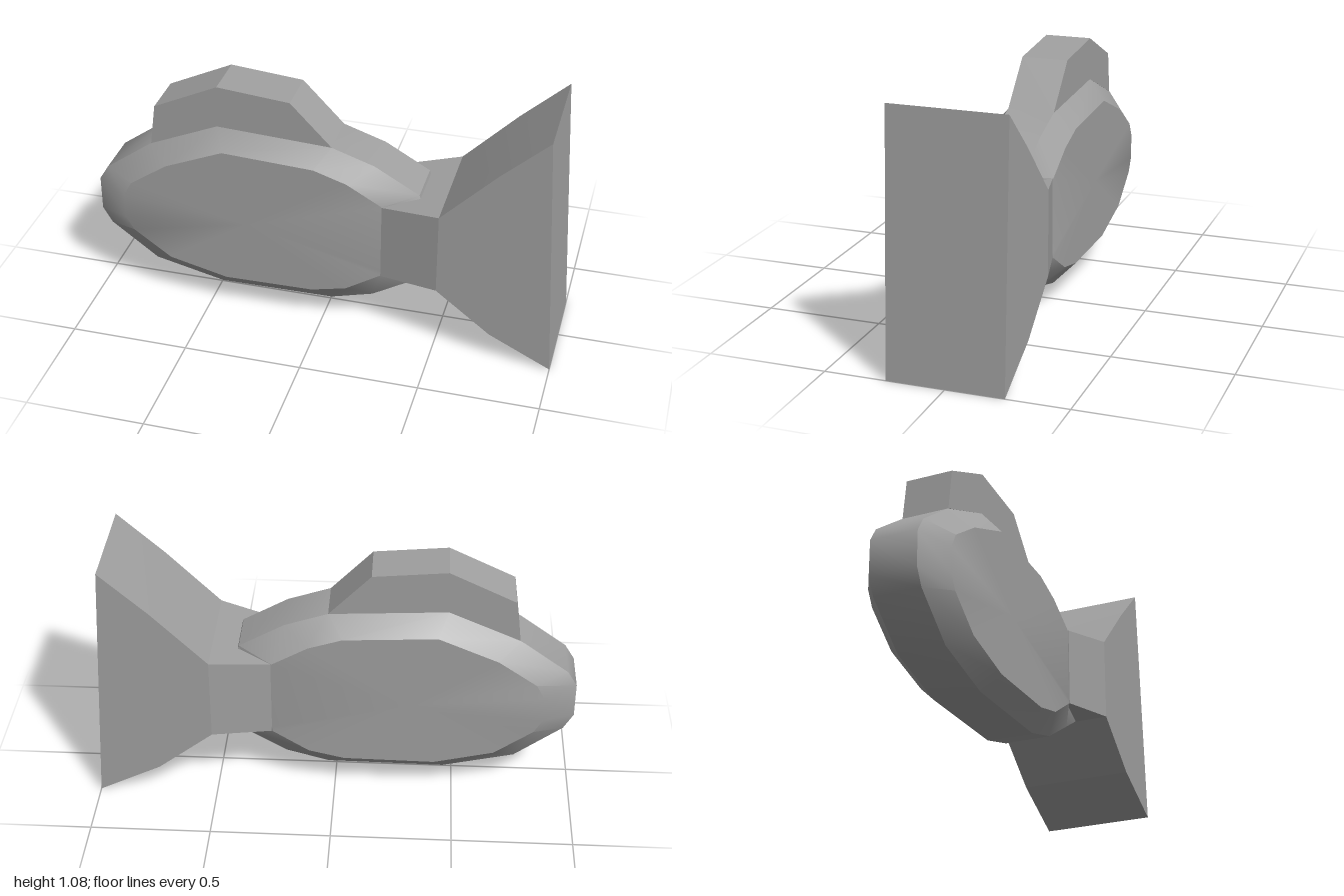
import * as THREE from 'three';
import { toCreasedNormals } from 'three/addons/utils/BufferGeometryUtils.js';

const grey = new THREE.MeshStandardMaterial({ color: 0xa0a0a0 });
grey.name = 'plain grey';

// Skin between equal-sized rings of [x, y, z] points, closed with a cap at each end
function loft(rings, crease) {
  const pos = [];
  const tri = (a, b, c) => pos.push(...a, ...b, ...c);
  const n = rings[0].length;
  const centre = (ring) => [0, 1, 2].map((k) => ring.reduce((s, p) => s + p[k], 0) / n);
  const first = rings[0], last = rings[rings.length - 1];
  const c0 = centre(first), c1 = centre(last);
  for (let j = 0; j < n; j++) {
    const k = (j + 1) % n;
    for (let i = 0; i < rings.length - 1; i++) {
      const a = rings[i], b = rings[i + 1];
      tri(a[j], a[k], b[k]);
      tri(a[j], b[k], b[j]);
    }
    tri(c0, first[k], first[j]);
    tri(c1, last[j], last[k]);
  }
  const geo = new THREE.BufferGeometry();
  geo.setAttribute('position', new THREE.Float32BufferAttribute(pos, 3));
  return toCreasedNormals(geo, crease);
}

function addPart(group, name, geo) {
  const mesh = new THREE.Mesh(geo, grey);
  mesh.name = name;
  group.add(mesh);
}

export function createModel() {
  const group = new THREE.Group();
  group.name = 'fish';
  const atZ = (outline, z) => outline.map(([x, y]) => [x, y, z]);

  // Body: flat sides with a bevelled rim, outlines run along the belly and back over the top
  const rim = [
    [-1, 0.37], [-0.96, 0.3], [-0.76, 0.15], [-0.46, 0.08], [0.03, 0.085], [0.21, 0.135], [0.4, 0.247], [0.51, 0.312],
    [0.4, 0.667], [0.21, 0.775], [0.03, 0.835], [-0.46, 0.86], [-0.76, 0.73], [-0.96, 0.585], [-1, 0.52],
  ];
  const side = [
    [-0.865, 0.39], [-0.83, 0.33], [-0.67, 0.215], [-0.42, 0.155], [-0.04, 0.16], [0.11, 0.195], [0.26, 0.29], [0.26, 0.31],
    [0.26, 0.63], [0.11, 0.715], [-0.03, 0.76], [-0.42, 0.78], [-0.67, 0.675], [-0.83, 0.565], [-0.865, 0.5],
  ];
  addPart(group, 'body', loft([atZ(side, -0.178), atZ(rim, -0.1), atZ(rim, 0.1), atZ(side, 0.172)], 0.56));

  // Back fin, its base following the top of the body
  const fin = [
    [-0.755, 0.733], [-0.46, 0.86], [0.03, 0.835], [-0.145, 1.017], [-0.455, 1.045], [-0.73, 0.915],
  ];
  addPart(group, 'backFin', loft([atZ(fin, -0.1), atZ(fin, 0.1)], 0.1));

  // Tail: flares out from the body, then fans up and down to a slanted end
  const tail = [
    // bottom x, bottom y, top x, top y, half width
    [0.26, 0.29, 0.26, 0.63, 0.175],
    [0.51, 0.31, 0.51, 0.667, 0.2425],
    [0.74, 0.13, 0.74, 0.9, 0.2425],
    [1, 0, 0.937, 1.08, 0.2425],
  ].map(([bx, by, tx, ty, w]) => [[bx, by, -w], [tx, ty, -w], [tx, ty, w], [bx, by, w]]);
  addPart(group, 'tail', loft(tail, 0.2));

  return group;
}
